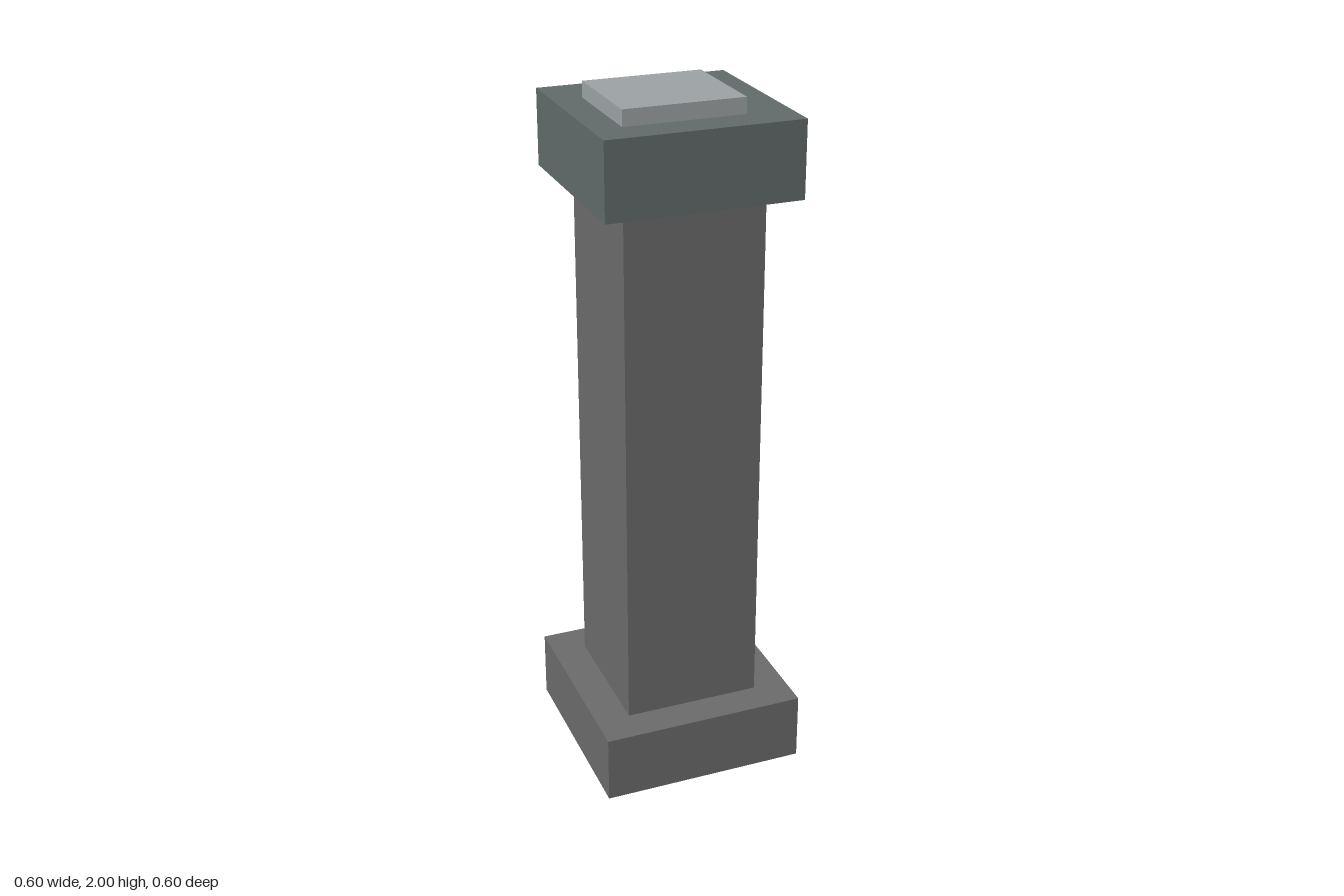
import * as THREE from 'three';

// Adds a named box given its size, base height and plan centre
function addBlock(group, name, color, [w, h, d], y, x = 0, z = 0) {
  const material = new THREE.MeshStandardMaterial({ color });
  const mesh = new THREE.Mesh(new THREE.BoxGeometry(w, h, d), material);
  mesh.name = name;
  mesh.position.set(x, y + h / 2, z);
  group.add(mesh);
}

export function createModel() {
  const pillar = new THREE.Group();
  pillar.name = 'pillar';

  // Square plinth and shaft
  addBlock(pillar, 'base', 0x6b6b6b, [0.6, 0.2, 0.6], 0);
  addBlock(pillar, 'shaft', 0x6b6b6b, [0.4, 1.54, 0.4], 0.2);

  // Capital with an off-centre slab on top
  addBlock(pillar, 'capital', 0x626a6a, [0.55, 0.215, 0.55], 1.74);
  addBlock(pillar, 'topSlab', 0x9da3a5, [0.34, 0.045, 0.31], 1.955, -0.022, 0.023);

  return pillar;
}
